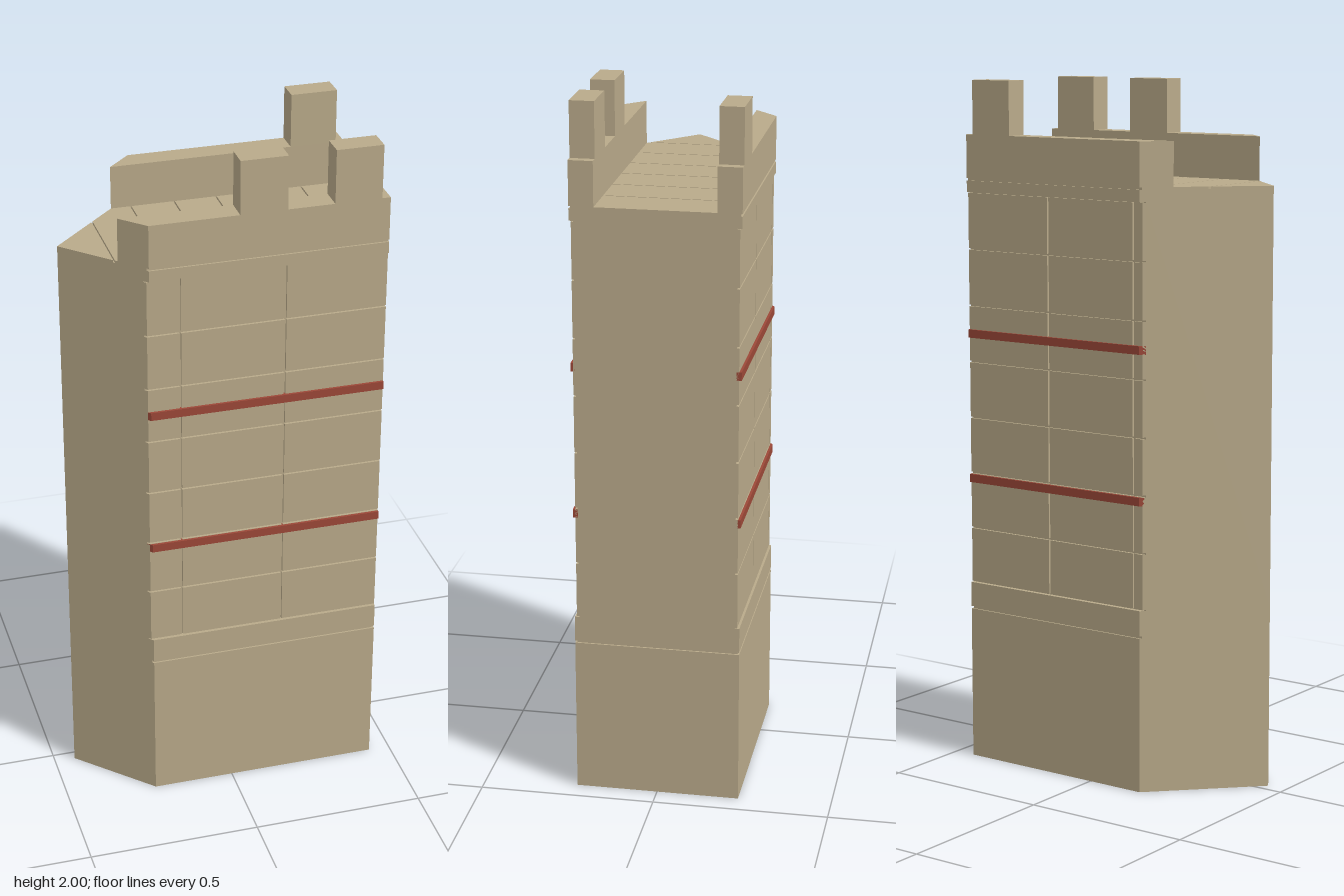
import * as THREE from 'three';

// Footprint: a wall block with a square right end and a pointed left end.
const END = 0.437, TIP_Z = 0.03, FRONT = 0.233, BACK = -0.235;
const prow = z => Math.max(-0.41 - z, -0.47 + z);

// Flat slab between two z values and two heights, cut to the pointed end.
function slabGeometry(za, zb, y0, y1, xL = -1, xR = END) {
  const zs = [TIP_Z, -0.41 - xL, xL + 0.47].filter(z => z > za + 1e-4 && z < zb - 1e-4);
  zs.push(za, zb);
  zs.sort((a, b) => a - b);
  const shape = new THREE.Shape();
  shape.moveTo(xR, -zb);
  shape.lineTo(xR, -za);
  zs.forEach(z => shape.lineTo(Math.max(xL, prow(z)), -z));
  shape.closePath();
  const geo = new THREE.ExtrudeGeometry(shape, { depth: y1 - y0, bevelEnabled: false });
  geo.rotateX(-Math.PI / 2);
  geo.translate(0, y0, 0);
  return geo;
}

export function createModel() {
  const model = new THREE.Group();
  model.name = 'wallSegment';
  const stone = new THREE.MeshStandardMaterial({ color: 0xb9aa8a });
  stone.name = 'sandstone';
  const red = new THREE.MeshStandardMaterial({ color: 0x9c4838 });
  red.name = 'brickRed';

  const add = (name, material, ...args) => {
    const mesh = new THREE.Mesh(slabGeometry(...args), material);
    mesh.name = name;
    model.add(mesh);
  };

  // Plinth, recessed joint and band above it
  add('plinth', stone, BACK, FRONT, 0, 0.45);
  add('plinthJoint', stone, BACK + 0.005, FRONT - 0.005, 0.45, 0.457, -1, END - 0.005);
  add('lowerBand', stone, BACK, FRONT, 0.457, 0.53);

  // Wall core, upper band and the joint under the parapet
  add('wallCore', stone, -0.222, 0.22, 0.53, 1.68);
  add('upperBand', stone, BACK, FRONT, 1.68, 1.713);

  // Facing panels with narrow joints, and red string courses, on both faces
  const columns = [-1, -0.15, 0.148, END];
  const rows = 7, rowHeight = 1.15 / rows, gap = 0.0025;
  const faces = [['front', 0.22, 0.227, 0.234], ['back', -0.222, -0.229, -0.236]];
  for (const [side, inner, outer, proud] of faces) {
    const za = Math.min(inner, outer), zb = Math.max(inner, outer);
    for (let r = 0; r < rows; r++) {
      const y = 0.53 + r * rowHeight;
      for (let c = 0; c < 3; c++) {
        const xL = columns[c] + gap, xR = columns[c + 1] - (c < 2 ? gap : 0);
        add(side + 'Panel', stone, za, zb, y + gap, y + rowHeight - gap, xL, xR);
      }
    }
    for (const y of [0.843, 1.27]) {
      add(side + 'StringCourse', red, Math.min(inner, proud), Math.max(inner, proud), y - 0.012, y + 0.012);
    }
  }

  // Walkway planks
  const seams = [-0.315, -0.187, -0.062, 0.06, 0.185, 0.31, END];
  add('walkPlank', stone, -0.095, 0.155, 1.713, 1.72, -1, seams[0]);
  for (let i = 0; i < 6; i++) {
    add('walkPlank', stone, -0.168, 0.165, 1.713, 1.72, seams[i] + 0.004, seams[i + 1]);
  }

  // Parapets with a shallow joint below, and merlons
  const parapets = [
    ['front', 0.165, FRONT, 0.165, FRONT - 0.005, [0.015, 0.28]],
    ['back', BACK, -0.168, BACK + 0.005, -0.168, [0.28]],
  ];
  for (const [side, za, zb, ja, jb, merlons] of parapets) {
    add(side + 'ParapetJoint', stone, ja, jb, 1.713, 1.72);
    add(side + 'Parapet', stone, za, zb, 1.72, 1.845);
    for (const x of merlons) add(side + 'Merlon', stone, za, zb, 1.845, 2, x, x + 0.133);
  }
  return model;
}
